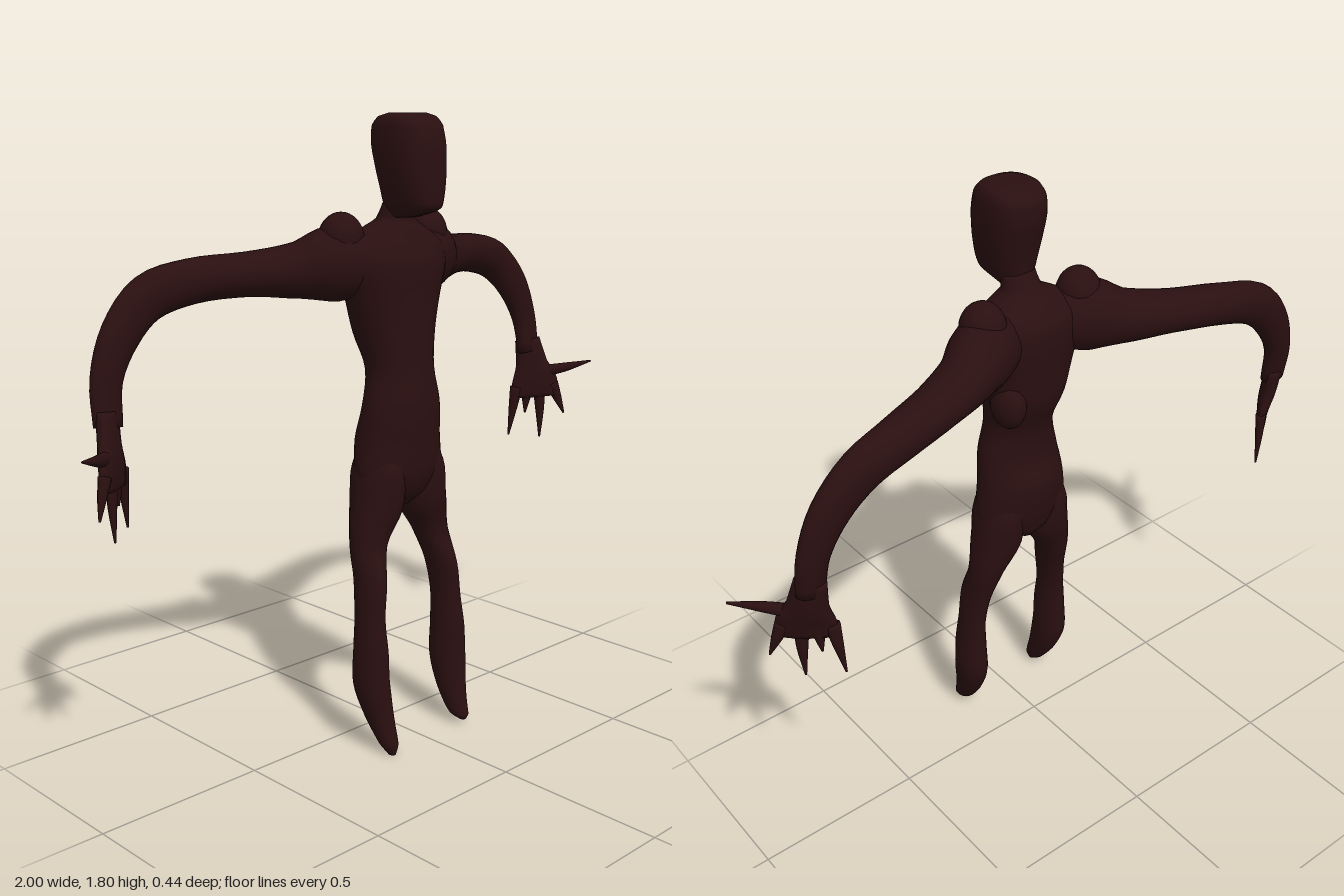
import * as THREE from 'three';

const skin = new THREE.MeshStandardMaterial({ color: 0x2a0f10 });
skin.name = 'darkSkin';

// Smooth closed loft through sections [x, y, z, radiusA, radiusB].
// ref: direction of radiusB; flat: keep all rings horizontal (sections go upwards);
// power: 1 gives ellipses, less gives squarer rings.
function loft(name, sections, { ref = [0, 0, 1], flat = false, sides = 24, steps = 4, power = 1 } = {}) {
  const path = new THREE.CatmullRomCurve3(sections.map(s => new THREE.Vector3(s[0], s[1], s[2])));
  const radii = new THREE.CatmullRomCurve3(sections.map(s => new THREE.Vector3(s[3], s[4], 0)));
  const rings = (sections.length - 1) * steps;
  const pos = [], idx = [];
  const round = v => Math.sign(v) * Math.abs(v) ** power;
  for (let i = 0; i <= rings; i++) {
    const c = path.getPoint(i / rings), r = radii.getPoint(i / rings);
    const t = flat ? new THREE.Vector3(0, 1, 0) : path.getTangent(i / rings);
    const b = new THREE.Vector3(...ref);
    b.addScaledVector(t, -b.dot(t)).normalize();
    const a = b.clone().cross(t);
    for (let j = 0; j < sides; j++) {
      const q = (j / sides) * Math.PI * 2;
      const p = c.clone()
        .addScaledVector(a, round(Math.cos(q)) * Math.max(r.x, 0.001))
        .addScaledVector(b, round(Math.sin(q)) * Math.max(r.y, 0.001));
      pos.push(p.x, p.y, p.z);
      if (i < rings) {
        const k = i * sides + j, n = i * sides + (j + 1) % sides;
        idx.push(k, n, k + sides, n, n + sides, k + sides);
      }
    }
  }
  // End caps
  const first = path.getPoint(0), last = path.getPoint(1);
  const f = pos.length / 3, top = rings * sides;
  pos.push(first.x, first.y, first.z, last.x, last.y, last.z);
  for (let j = 0; j < sides; j++) {
    const n = (j + 1) % sides;
    idx.push(f, n, j, f + 1, top + j, top + n);
  }
  const g = new THREE.BufferGeometry();
  g.setAttribute('position', new THREE.Float32BufferAttribute(pos, 3));
  g.setIndex(idx);
  g.computeVertexNormals();
  const mesh = new THREE.Mesh(g, skin);
  mesh.name = name;
  return mesh;
}

function lump(name, position, scale) {
  const mesh = new THREE.Mesh(new THREE.SphereGeometry(1, 24, 16), skin);
  mesh.name = name;
  mesh.position.set(...position);
  mesh.scale.set(...scale);
  return mesh;
}

export function createModel() {
  const model = new THREE.Group();
  model.name = 'figure';

  // Torso and neck
  const torso = [
    [0.70, 0.06, 0.03, 0.04], [0.74, 0.065, 0.10, 0.075], [0.80, 0.068, 0.15, 0.095],
    [0.90, 0.066, 0.138, 0.105], [1.0, 0.08, 0.125, 0.095], [1.1, 0.073, 0.105, 0.092],
    [1.2, 0.05, 0.126, 0.107], [1.3, 0.045, 0.155, 0.11], [1.4, 0.042, 0.185, 0.113],
    [1.45, 0.038, 0.175, 0.1], [1.49, 0.045, 0.11, 0.075], [1.52, 0.055, 0.058, 0.05],
    [1.56, 0.07, 0.05, 0.045], [1.61, 0.085, 0.05, 0.045],
  ].map(([y, z, a, b]) => [0, y, z, a, b]);
  model.add(loft('torso', torso, { flat: true, sides: 32 }));
  model.add(lump('flankBulge', [0.092, 1.21, 0.0], [0.046, 0.075, 0.06]));

  // Long head with a flat face and an overhanging chin
  const head = [
    [1.525, 0.085, 0.04, 0.045], [1.55, 0.12, 0.056, 0.088], [1.58, 0.122, 0.066, 0.093],
    [1.65, 0.115, 0.08, 0.1], [1.72, 0.105, 0.086, 0.105], [1.77, 0.1, 0.084, 0.098],
    [1.795, 0.1, 0.074, 0.075], [1.805, 0.1, 0.05, 0.045],
  ].map(([y, z, a, b]) => [0, y, z, a, b]);
  model.add(loft('head', head, { flat: true, sides: 32, power: 0.8 }));

  for (const s of [1, -1]) {
    const side = s > 0 ? 'left' : 'right';
    const mirror = list => list.map(([x, ...rest]) => [s * x, ...rest]);

    // Leg with a pointed foot
    const leg = mirror([
      [0.15, 0, 0.197, 0.01, 0.012], [0.15, 0.03, 0.182, 0.025, 0.033],
      [0.153, 0.1, 0.148, 0.036, 0.05], [0.16, 0.2, 0.122, 0.045, 0.063],
      [0.16, 0.3, 0.12, 0.041, 0.06], [0.157, 0.4, 0.113, 0.035, 0.053],
      [0.146, 0.5, 0.103, 0.037, 0.058], [0.126, 0.6, 0.075, 0.052, 0.057],
      [0.09, 0.7, 0.07, 0.075, 0.08], [0.08, 0.8, 0.068, 0.07, 0.09],
      [0.07, 0.88, 0.066, 0.05, 0.07],
    ]);
    if (s > 0) leg[0][1] = 0.015;
    model.add(loft(side + 'Leg', leg, { flat: true }));

    // Shoulder and drooping arm
    model.add(lump(side + 'Shoulder', [s * 0.165, 1.465, 0.01], [0.065, 0.077, 0.065]));
    model.add(loft(side + 'Arm', mirror([
      [0.08, 1.4, 0.04, 0.08, 0.08], [0.18, 1.4, -0.005, 0.105, 0.09],
      [0.27, 1.385, -0.055, 0.078, 0.078], [0.4, 1.38, -0.112, 0.061, 0.07],
      [0.55, 1.37, -0.158, 0.061, 0.058], [0.68, 1.335, -0.175, 0.064, 0.044],
      [0.77, 1.25, -0.17, 0.058, 0.038], [0.823, 1.14, -0.162, 0.046, 0.033],
      [0.834, 1.02, -0.146, 0.042, 0.027],
    ])));

    // Hand: flat palm turned outward, with tapering fingers
    const hand = new THREE.Group();
    hand.name = side + 'Hand';
    const ref = [-0.58 * s, 0, 0.81];
    hand.add(loft('palm', mirror([
      [0.833, 1.06, -0.15, 0.042, 0.027], [0.84, 0.98, -0.135, 0.054, 0.026],
      [0.843, 0.92, -0.122, 0.078, 0.022], [0.843, 0.865, -0.117, 0.078, 0.015],
    ]), { ref }));
    const fingers = [
      ['innerFinger', [0.79, 0.9, -0.157], [0.783, 0.83, -0.164], [0.771, 0.735, -0.172]],
      ['shortFinger', [0.82, 0.9, -0.137], [0.82, 0.86, -0.138], [0.817, 0.81, -0.14]],
      ['middleFinger', [0.853, 0.9, -0.11], [0.857, 0.82, -0.108], [0.855, 0.725, -0.105]],
      ['outerFinger', [0.89, 0.91, -0.085], [0.908, 0.86, -0.074], [0.927, 0.805, -0.06]],
      ['thumb', [0.865, 0.95, -0.11], [0.93, 0.965, -0.055], [1.0, 0.983, -0.008]],
    ];
    for (const [name, base, mid, tip] of fingers) {
      hand.add(loft(name, mirror([
        [...base, 0.022, 0.017], [...mid, 0.015, 0.012], [...tip, 0.003, 0.003],
      ]), { ref, sides: 10 }));
    }
    model.add(hand);
  }
  return model;
}
